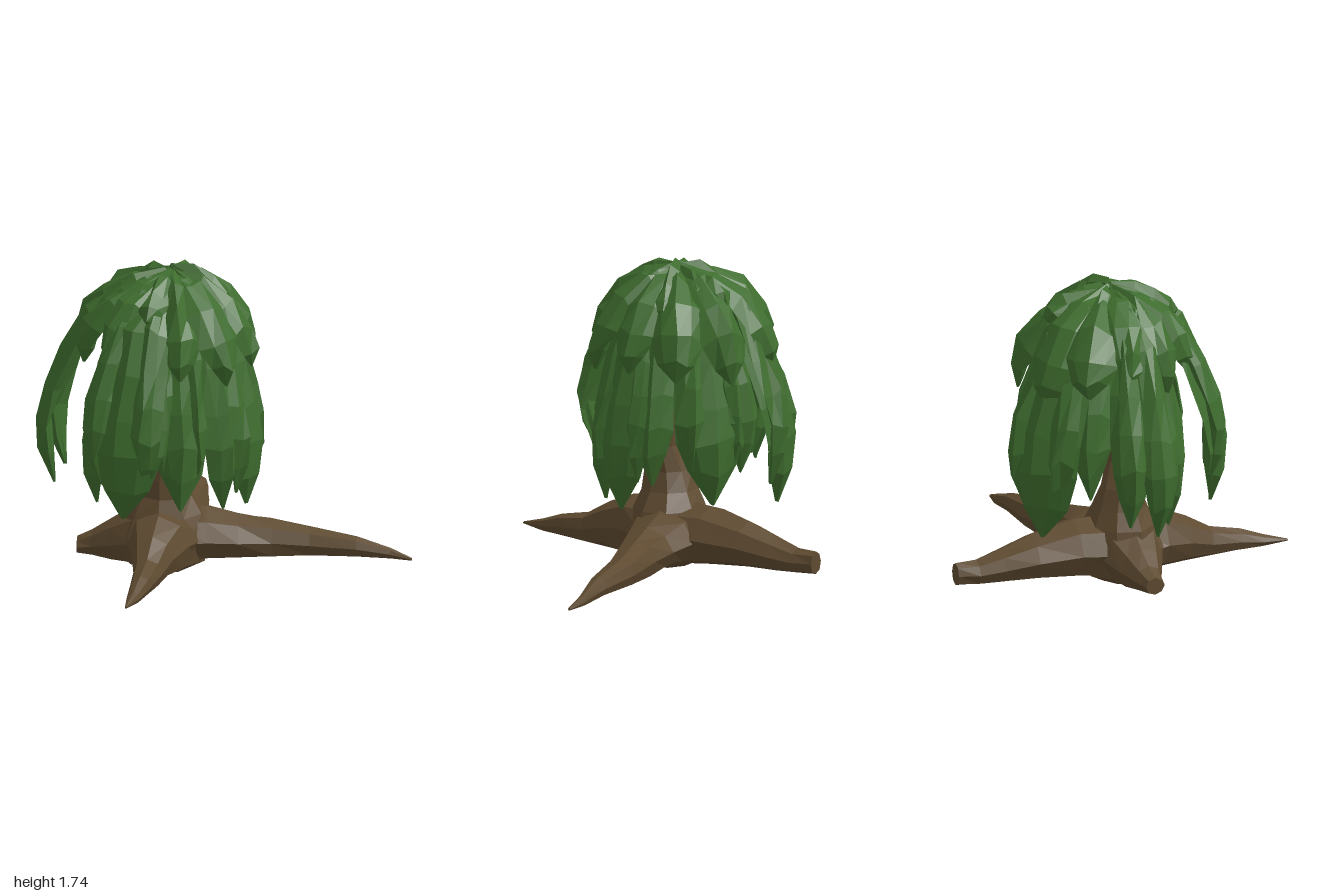
import * as THREE from 'three';

const bark = new THREE.MeshStandardMaterial({ color: 0x5e4a30, flatShading: true });
bark.name = 'bark brown';
const foliage = new THREE.MeshStandardMaterial({ color: 0x3e6c2e, flatShading: true });
foliage.name = 'leaf green';

const V = (x, y, z) => new THREE.Vector3(x, y, z);
const UP = V(0, 1, 0);

// Seeded jitter for the rough, hand-cut facets
let seed = 7;
const jitter = (a) => {
  seed = (seed * 16807) % 2147483647;
  return (seed / 2147483647 - 0.5) * 2 * a;
};

// Skin a list of equal-length rings and close both ends
function loft(rings) {
  const n = rings[0].length;
  const last = rings.length - 1;
  const pos = [];
  const idx = [];
  rings.forEach((r) => r.forEach((p) => pos.push(p.x, p.y, p.z)));
  for (let j = 0; j < last; j++) {
    for (let i = 0; i < n; i++) {
      const a = j * n + i, b = j * n + ((i + 1) % n);
      idx.push(a, b, b + n, a, b + n, a + n);
    }
  }
  for (const end of [0, last]) {
    const c = rings[end].reduce((s, p) => s.add(p), V(0, 0, 0)).divideScalar(n);
    const k = pos.length / 3;
    pos.push(c.x, c.y, c.z);
    for (let i = 0; i < n; i++) {
      const a = end * n + i, b = end * n + ((i + 1) % n);
      if (end) idx.push(k, a, b);
      else idx.push(k, b, a);
    }
  }
  const g = new THREE.BufferGeometry();
  g.setAttribute('position', new THREE.Float32BufferAttribute(pos, 3));
  g.setIndex(idx);
  const flat = g.toNonIndexed();
  flat.computeVertexNormals();
  return flat;
}

// Elliptical, slightly irregular ring
function ring(c, side, up, a, b, sides) {
  return Array.from({ length: sides }, (_, i) => {
    const t = (i / sides) * Math.PI * 2;
    const k = 1 + jitter(0.06);
    return c.clone().addScaledVector(side, Math.cos(t) * a * k).addScaledVector(up, Math.sin(t) * b * k);
  });
}

// Root stations: x, y, z, half width, half height
const ROOTS = {
  leftRoot: [[-0.3, 0.19, -0.02, 0.24, 0.18], [-0.08, 0.185, -0.11, 0.2, 0.15], [0.08, 0.17, -0.17, 0.155, 0.125],
    [0.25, 0.155, -0.24, 0.12, 0.11], [0.45, 0.13, -0.32, 0.088, 0.085], [0.7, 0.11, -0.38, 0.058, 0.06],
    [0.88, 0.075, -0.43, 0.027, 0.03], [1, 0.05, -0.44, 0.007, 0.008]],
  backRoot: [[-0.28, 0.19, 0, 0.24, 0.18], [-0.32, 0.205, -0.28, 0.18, 0.165], [-0.36, 0.185, -0.52, 0.14, 0.125],
    [-0.39, 0.155, -0.7, 0.105, 0.095], [-0.41, 0.135, -0.84, 0.075, 0.07], [-0.43, 0.14, -0.96, 0.052, 0.062]],
  frontRoot: [[-0.28, 0.19, 0, 0.24, 0.18], [-0.24, 0.2, 0.22, 0.18, 0.175], [-0.215, 0.175, 0.38, 0.12, 0.13],
    [-0.195, 0.135, 0.52, 0.082, 0.085], [-0.17, 0.12, 0.7, 0.06, 0.062], [-0.16, 0.1, 0.83, 0.037, 0.035], [-0.155, 0.09, 0.97, 0.006, 0.006]],
  rightRoot: [[-0.28, 0.19, 0, 0.24, 0.18], [-0.45, 0.18, 0.03, 0.18, 0.165], [-0.58, 0.14, 0.05, 0.12, 0.12],
    [-0.68, 0.115, 0.07, 0.08, 0.075], [-0.76, 0.1, 0.09, 0.055, 0.048]],
};

function root(st) {
  return loft(st.map(([x, y, z, w, h], i) => {
    const p = st[Math.max(0, i - 1)], q = st[Math.min(st.length - 1, i + 1)];
    const side = UP.clone().cross(V(q[0] - p[0], 0, q[2] - p[2]).normalize());
    return ring(V(x, y, z), side, UP, w, h, 8);
  }));
}

// Trunk stations: x, y, z, radius
const TRUNK = [[-0.29, 0.01, 0, 0.15], [-0.29, 0.06, 0, 0.24], [-0.29, 0.2, 0, 0.26], [-0.29, 0.33, 0, 0.22], [-0.29, 0.43, 0, 0.165],
  [-0.29, 0.54, 0.01, 0.135], [-0.25, 0.68, 0.02, 0.1], [-0.25, 1.0, 0, 0.085], [-0.28, 1.35, -0.04, 0.07], [-0.28, 1.62, -0.06, 0.04]];

// Frond profiles: fraction of reach, height (1 = crown, 0 = tip), fraction of width
const LONG = [[0, 1, 0.3], [0.35, 0.965, 0.52], [0.63, 0.84, 0.78], [0.8, 0.64, 0.95], [0.93, 0.46, 1.02],
  [1, 0.3, 1], [0.97, 0.15, 0.72], [0.89, 0, 0.06]];
const SHORT = [[0.02, 1, 0.35], [0.38, 0.94, 0.7], [0.7, 0.74, 1], [0.92, 0.46, 1], [1, 0.2, 0.65], [0.97, 0, 0.08]];

// Cross-section: across, lift; a ridged outside and a shallow inside
const SECTION = [[1, -0.01], [0.55, 0.012], [0, 0.03], [-0.55, 0.012], [-1, -0.01], [-0.5, -0.05], [0.5, -0.05]];
const CROWN = V(-0.28, 0, -0.06);

function frond(profile, angle, reach, top, tip, width, shift = 0) {
  const dir = V(Math.cos(angle), 0, Math.sin(angle));
  const side = UP.clone().cross(dir);
  const pts = profile.map(([r, h]) => [r * reach, tip + h * (top - tip)]);
  return loft(profile.map(([r, , wf], i) => {
    const p = pts[Math.max(0, i - 1)], q = pts[Math.min(pts.length - 1, i + 1)];
    const len = Math.hypot(q[0] - p[0], q[1] - p[1]);
    const normal = dir.clone().multiplyScalar(-(q[1] - p[1]) / len).addScaledVector(UP, (q[0] - p[0]) / len);
    const w = (width * wf) / 2;
    const c = CROWN.clone().addScaledVector(dir, pts[i][0]).addScaledVector(side, shift * r);
    c.y = pts[i][1];
    const thin = wf < 0.1 ? 0.2 : 1;
    return SECTION.map(([v, lift]) => c.clone()
      .addScaledVector(side, v * w + jitter(0.012) * thin)
      .addScaledVector(normal, lift * thin - v * v * w * 0.35 + jitter(0.009) * thin)
      .addScaledVector(UP, jitter(0.025) * thin));
  }));
}

// Long fronds: outermost x, z, tip height, width
const HANGING = [
  [-0.36, 0.56, 0.43, 0.46], [-0.07, 0.31, 0.43, 0.32], [0.15, 0.14, 0.42, 0.26], [0.23, -0.06, 0.4, 0.38],
  [0.16, -0.26, 0.55, 0.24], [-0.1, -0.53, 0.44, 0.42], [-0.3, -0.58, 0.6, 0.26], [-0.64, -0.57, 0.38, 0.46],
  [-0.72, -0.28, 0.6, 0.22], [-0.97, -0.08, 0.5, 0.22], [-0.98, 0.09, 0.44, 0.22], [-0.65, 0.23, 0.4, 0.3],
];

// Crown fronds: heading in degrees, reach, tip height, width
const CROWNING = [
  [-8, 0.48, 1.18, 0.28], [-42, 0.49, 1.15, 0.3], [-80, 0.52, 1.12, 0.3], [-125, 0.54, 1.14, 0.34], [-155, 0.54, 1.22, 0.3],
  [178, 0.51, 1.26, 0.26], [150, 0.49, 1.2, 0.26], [118, 0.45, 1.26, 0.24], [62, 0.45, 1.2, 0.24], [28, 0.49, 1.15, 0.28],
];

export function createModel() {
  const model = new THREE.Group();
  model.name = 'droopingTree';
  const add = (parent, name, geo, mat) => {
    const m = new THREE.Mesh(geo, mat);
    m.name = name;
    parent.add(m);
  };

  // Trunk and spreading roots
  const base = new THREE.Group();
  base.name = 'trunkAndRoots';
  add(base, 'trunk', loft(TRUNK.map(([x, y, z, r]) => ring(V(x, y, z), V(1, 0, 0), V(0, 0, -1), r, r * 0.9, 9))), bark);
  for (const [name, st] of Object.entries(ROOTS)) add(base, name, root(st), bark);
  model.add(base);

  const canopy = new THREE.Group();
  canopy.name = 'canopy';
  HANGING.forEach(([x, z, tip, w]) => {
    const dx = x - CROWN.x, dz = z - CROWN.z;
    const angle = Math.atan2(dz, dx), reach = Math.hypot(dx, dz);
    add(canopy, 'hangingFrond', frond(LONG, angle, reach, 1.66, tip, w), foliage);
    // Wide fronds carry a narrower blade along each edge
    if (w > 0.3) {
      for (const s of [-1, 1]) {
        add(canopy, 'sideBlade', frond(LONG, angle, reach - 0.02, 1.65, tip + 0.14 + jitter(0.05), w * 0.42, s * w * 0.32), foliage);
      }
    }
  });

  // Shorter fronds rounding the crown
  CROWNING.forEach(([deg, reach, tip, w]) => {
    add(canopy, 'crownFrond', frond(SHORT, THREE.MathUtils.degToRad(deg), reach, 1.68, tip, w), foliage);
  });
  // Small tufts over the top
  for (let i = 0; i < 6; i++) {
    add(canopy, 'topTuft', frond(SHORT, (i / 6) * Math.PI * 2 + 0.5, 0.33 + jitter(0.04), 1.69, 1.44 + jitter(0.06), 0.18), foliage);
  }
  model.add(canopy);
  return model;
}
